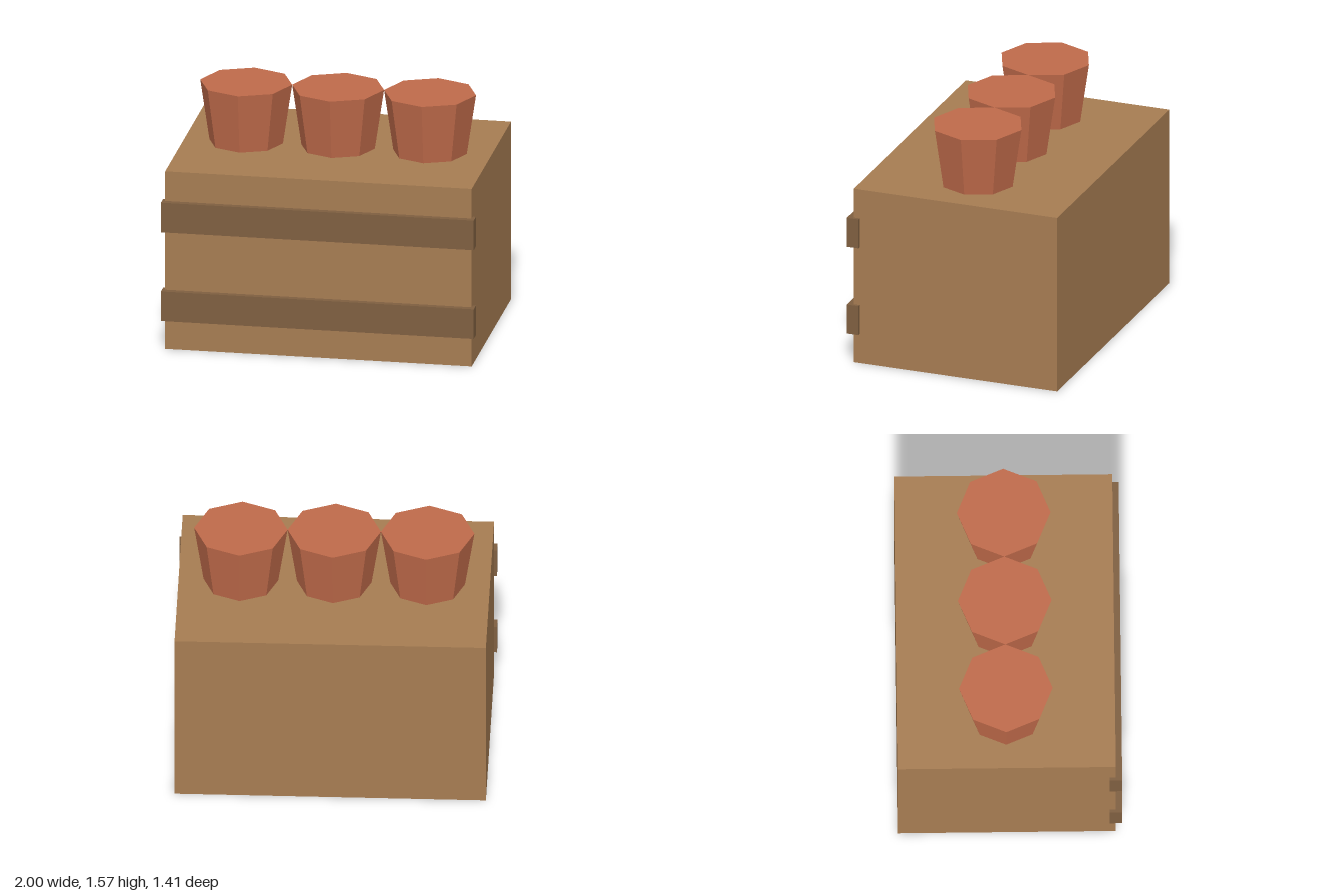
import * as THREE from 'three';

function material(name, color) {
  const m = new THREE.MeshStandardMaterial({ color });
  m.name = name;
  return m;
}

export function createModel() {
  const group = new THREE.Group();
  group.name = 'plantCrate';

  const wood = material('wood', 0xa67c52);
  const darkWood = material('darkWood', 0x7f5f40);
  const terracotta = material('terracotta', 0xbf6a4a);

  const add = (name, geometry, mat, x, y, z) => {
    const mesh = new THREE.Mesh(geometry, mat);
    mesh.name = name;
    mesh.position.set(x, y, z);
    group.add(mesh);
  };

  const crateHeight = 1.176;
  const crateZ = -0.02;

  // Solid crate body
  add('crate', new THREE.BoxGeometry(1.96, crateHeight, 1.372), wood, 0, crateHeight / 2, crateZ);

  // Two slats across the front, slightly wider than the crate
  const slat = new THREE.BoxGeometry(2, 0.196, 0.078);
  for (const y of [0.294, 0.882]) add('slat', slat, darkWood, 0, y, 0.667);

  // Row of three eight-sided pots on the lid, flat-faced
  const potHeight = 0.392;
  const pot = new THREE.CylinderGeometry(0.294, 0.235, potHeight, 8).toNonIndexed();
  pot.computeVertexNormals();
  for (const i of [-1, 0, 1]) {
    add('pot', pot, terracotta, i * 0.588, crateHeight + potHeight / 2, crateZ);
  }

  return group;
}
